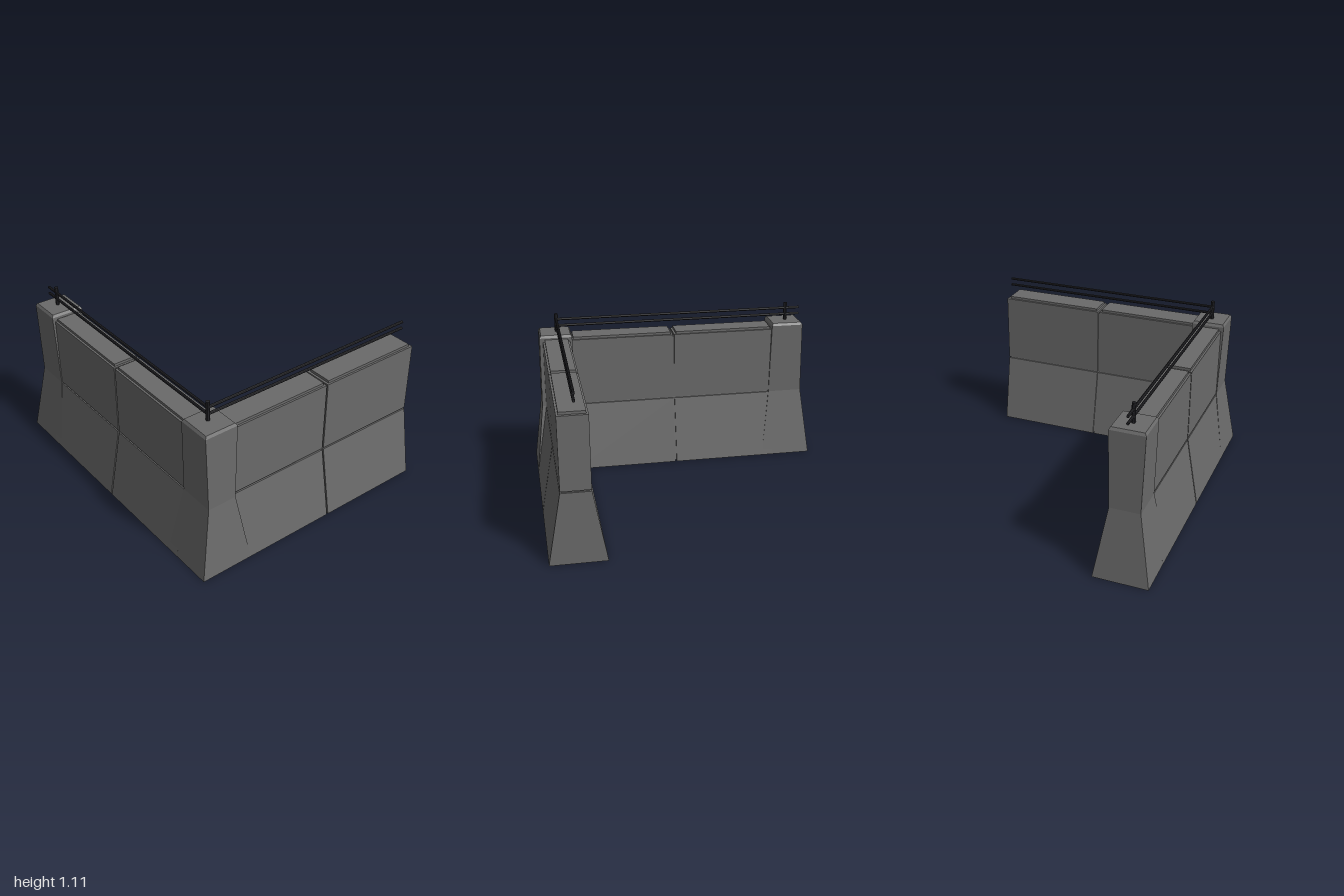
import * as THREE from 'three';

const concrete = new THREE.MeshStandardMaterial({ color: 0x6a6a6a, flatShading: true });
const steel = new THREE.MeshStandardMaterial({ color: 0x242428, flatShading: true });

// Closed solid through stacked rectangles, each [y, x0, x1, z0, z1]
function stack(name, rings) {
  const pos = [];
  const corners = rings.map(([y, x0, x1, z0, z1]) => [[x0, y, z1], [x1, y, z1], [x1, y, z0], [x0, y, z0]]);
  const quad = (a, b, c, d) => pos.push(...a, ...b, ...c, ...a, ...c, ...d);
  for (let i = 0; i < corners.length - 1; i++) {
    const lo = corners[i], hi = corners[i + 1];
    for (let k = 0; k < 4; k++) {
      const n = (k + 1) % 4;
      quad(lo[k], lo[n], hi[n], hi[k]);
    }
  }
  quad(...corners[corners.length - 1]);
  quad(...[...corners[0]].reverse());
  const geo = new THREE.BufferGeometry();
  geo.setAttribute('position', new THREE.Float32BufferAttribute(pos, 3));
  geo.computeVertexNormals();
  const mesh = new THREE.Mesh(geo, concrete);
  mesh.name = name;
  return mesh;
}

const FOOT = 0.1775, NECK = 0.0925, WAIST = 0.47, TOP = 0.94;

// Straight wall along x: two panel columns either side of a joint, over a recessed core
function wall(name, start, joint, end, coreStart, coreEnd, capStart, capEnd) {
  const g = new THREE.Group();
  g.name = name;
  const gap = 0.005, inset = 0.01;
  const half = y => (y < WAIST ? FOOT + (NECK - FOOT) * y / WAIST : NECK);
  const ring = (y, a, b, d = 0) => [y, a, b, -half(y) + d, half(y) - d];
  g.add(stack('wallCore', [0.01, WAIST, 0.925].map(y => ring(y, coreStart, coreEnd, inset))));
  const columns = [[start, joint - gap, capStart, joint - 0.02], [joint + gap, end, joint + 0.02, capEnd]];
  for (const [a, b, ca, cb] of columns) {
    g.add(stack('lowerPanel', [ring(0, a, b), ring(WAIST - gap, a, b)]));
    g.add(stack('upperPanel', [
      ring(WAIST + gap, a, b), ring(TOP, a, b),
      ring(TOP, ca, cb, 0.013), ring(0.957, ca, cb, 0.013),
    ]));
  }
  return g;
}

// Flared pillar; s is +1 at the front end, -1 at the back end
function pillar(name, s) {
  const ring = (y, x0, x1, outer, inner) =>
    [y, x0, x1, Math.min(s * outer, s * inner), Math.max(s * outer, s * inner)];
  return stack(name, [
    ring(0, -0.852, -0.498, 1, 0.645),
    ring(WAIST, -0.771, -0.577, 0.943, 0.703),
    ring(0.968, -0.785, -0.564, 0.937, 0.714),
    ring(0.985, -0.775, -0.574, 0.927, 0.724),
  ]);
}

// Round bar between two points
function bar(name, from, to, radius) {
  const a = new THREE.Vector3(...from), b = new THREE.Vector3(...to);
  const dir = b.clone().sub(a);
  const mesh = new THREE.Mesh(new THREE.CylinderGeometry(radius, radius, dir.length(), 8), steel);
  mesh.position.copy(a).add(b).multiplyScalar(0.5);
  mesh.quaternion.setFromUnitVectors(new THREE.Vector3(0, 1, 0), dir.normalize());
  mesh.name = name;
  return mesh;
}

export function createModel() {
  const model = new THREE.Group();
  model.name = 'cornerBarrier';

  // Front wall runs toward +x, side wall runs along z
  const front = wall('frontWall', -0.59, 0.13, 0.85, -0.555, 0.838, -0.563, 0.83);
  front.position.z = 0.8225;
  const side = wall('sideWall', -0.73, 0, 0.73, -0.695, 0.695, -0.705, 0.705);
  side.rotation.y = Math.PI / 2;
  side.position.x = -0.675;
  model.add(front, side);

  model.add(pillar('cornerPillar', 1), pillar('endPillar', -1));

  // Railing
  const rx = -0.675, rz = 0.812;
  for (const z of [rz, -0.835]) model.add(bar('railPost', [rx, 0.96, z], [rx, 1.11, z], 0.013));
  for (const y of [1.025, 1.07]) {
    model.add(bar('frontRail', [rx, y, rz], [0.85, y, rz], 0.009));
    model.add(bar('sideRail', [rx, y, rz], [rx, y, -0.935], 0.009));
  }
  return model;
}
